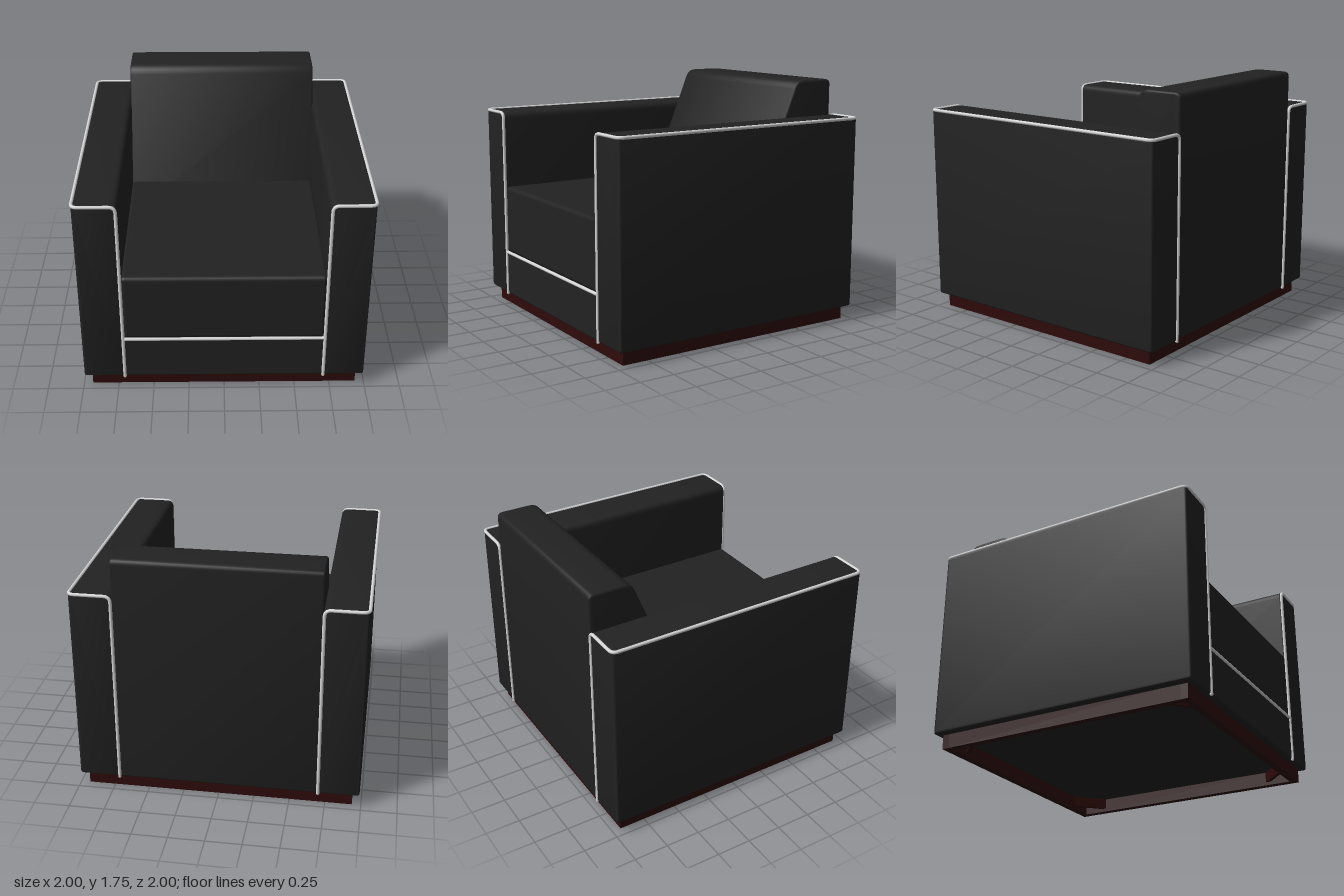
import * as THREE from 'three';
import { toCreasedNormals } from 'three/addons/utils/BufferGeometryUtils.js';
import { RoundedBoxGeometry } from 'three/addons/geometries/RoundedBoxGeometry.js';

const fabric = new THREE.MeshStandardMaterial({ color: 0x222222 });
fabric.name = 'black upholstery';
const trim = new THREE.MeshStandardMaterial({ color: 0xd6d6d6 });
trim.name = 'pale piping';
const wood = new THREE.MeshStandardMaterial({ color: 0x2e0a0a });
wood.name = 'dark red wood';

function add(parent, name, geometry, material, x = 0, y = 0, z = 0) {
  const mesh = new THREE.Mesh(geometry, material);
  mesh.name = name;
  mesh.position.set(x, y, z);
  parent.add(mesh);
  return mesh;
}

// Closed outline with rounded corners; each point is [x, y, radius]
function roundedShape(points) {
  const shape = new THREE.Shape();
  points.forEach(([x, y, r], i) => {
    const n = points.length;
    const p = new THREE.Vector2(x, y);
    const toward = (q) => new THREE.Vector2(q[0], q[1]).sub(p).setLength(r).add(p);
    const a = toward(points[(i + n - 1) % n]);
    const b = toward(points[(i + 1) % n]);
    if (i === 0) shape.moveTo(a.x, a.y);
    else shape.lineTo(a.x, a.y);
    shape.quadraticCurveTo(x, y, b.x, b.y);
  });
  shape.closePath();
  return shape;
}

// Extrusion centred on its depth, with softly rounded rims
function cushion(points, depth, bevel) {
  const geometry = new THREE.ExtrudeGeometry(roundedShape(points), {
    depth: depth - 2 * bevel, bevelEnabled: true, bevelThickness: bevel,
    bevelSize: bevel, bevelOffset: -bevel, bevelSegments: 4, curveSegments: 6,
  });
  geometry.translate(0, 0, bevel - depth / 2);
  return toCreasedNormals(geometry, 0.7);
}

// Cord following straight runs joined by rounded bends
function cord(points, bend, radius) {
  const path = new THREE.CurvePath();
  const v = points.map((p) => new THREE.Vector3(...p));
  let from = v[0];
  for (let i = 1; i < v.length - 1; i++) {
    const a = v[i - 1].clone().sub(v[i]).setLength(bend).add(v[i]);
    const b = v[i + 1].clone().sub(v[i]).setLength(bend).add(v[i]);
    path.add(new THREE.LineCurve3(from, a));
    path.add(new THREE.QuadraticBezierCurve3(a, v[i], b));
    from = b;
  }
  path.add(new THREE.LineCurve3(from, v[v.length - 1]));
  return new THREE.TubeGeometry(path, 420, radius, 8, false);
}

export function createModel() {
  const chair = new THREE.Group();
  chair.name = 'armchair';

  // Plinth: open wooden frame with diagonal corner braces
  const plinth = new THREE.Group();
  plinth.name = 'plinth';
  chair.add(plinth);
  const half = 0.937, inner = 0.885;
  for (const s of [-1, 1]) {
    add(plinth, 'crossRail', new THREE.BoxGeometry(2 * half, 0.11, half - inner), wood,
      0, 0.055, s * (half + inner) / 2);
    add(plinth, 'sideRail', new THREE.BoxGeometry(half - inner, 0.11, 2 * inner), wood,
      s * (half + inner) / 2, 0.055, 0);
    for (const t of [-1, 1]) {
      const brace = add(plinth, 'cornerBrace', new THREE.BoxGeometry(0.26, 0.08, 0.03), wood,
        s * 0.8, 0.065, t * 0.8);
      brace.rotation.y = s * t * Math.PI / 4;
    }
  }

  // Arms with piping; the second is the first turned half round
  const armShape = [[0.69, 0.1, 0.02], [0.988, 0.1, 0.02], [0.988, 1.493, 0.02], [0.69, 1.493, 0.05]];
  const armGeometry = cushion(armShape, 1.974, 0.018);
  const e = 0.986;
  const cordGeometry = cord([
    [0.701, 0.1, e], [0.701, 1.489, e], [0.988, 1.489, e],
    [0.988, 1.489, -e], [0.701, 1.489, -e], [0.701, 0.1, -e],
  ], 0.045, 0.012);
  for (const [name, turn] of [['left', 0], ['right', Math.PI]]) {
    const arm = new THREE.Group();
    arm.name = name + 'Arm';
    arm.rotation.y = turn;
    chair.add(arm);
    add(arm, name + 'ArmBody', armGeometry, fabric);
    add(arm, name + 'ArmPiping', cordGeometry, trim);
    for (const z of [-e, e]) {
      add(arm, name + 'PipingEnd', new THREE.SphereGeometry(0.012, 8, 6), trim, 0.701, 0.1, z);
    }
  }

  // Backrest: side profile (horizontal axis is -z) extruded across the width
  const backGeometry = cushion([
    [0.24, 0.1, 0.02], [0.985, 0.1, 0.02], [0.985, 1.75, 0.04],
    [0.675, 1.75, 0.06], [0.24, 0.7, 0.02],
  ], 1.395, 0.015);
  backGeometry.rotateY(Math.PI / 2);
  add(chair, 'backrest', backGeometry, fabric);

  // Seat cushion, front panel and the cord between them
  add(chair, 'seatCushion', new RoundedBoxGeometry(1.4, 0.505, 1.5, 4, 0.03), fabric, 0, 0.68, 0.235);
  add(chair, 'frontPanel', new RoundedBoxGeometry(1.4, 0.33, 1.5, 3, 0.015), fabric, 0, 0.265, 0.235);
  const seatCord = add(chair, 'seatPiping', new THREE.CylinderGeometry(0.012, 0.012, 1.39, 10), trim, 0, 0.425, 0.985);
  seatCord.rotation.z = Math.PI / 2;

  return chair;
}
